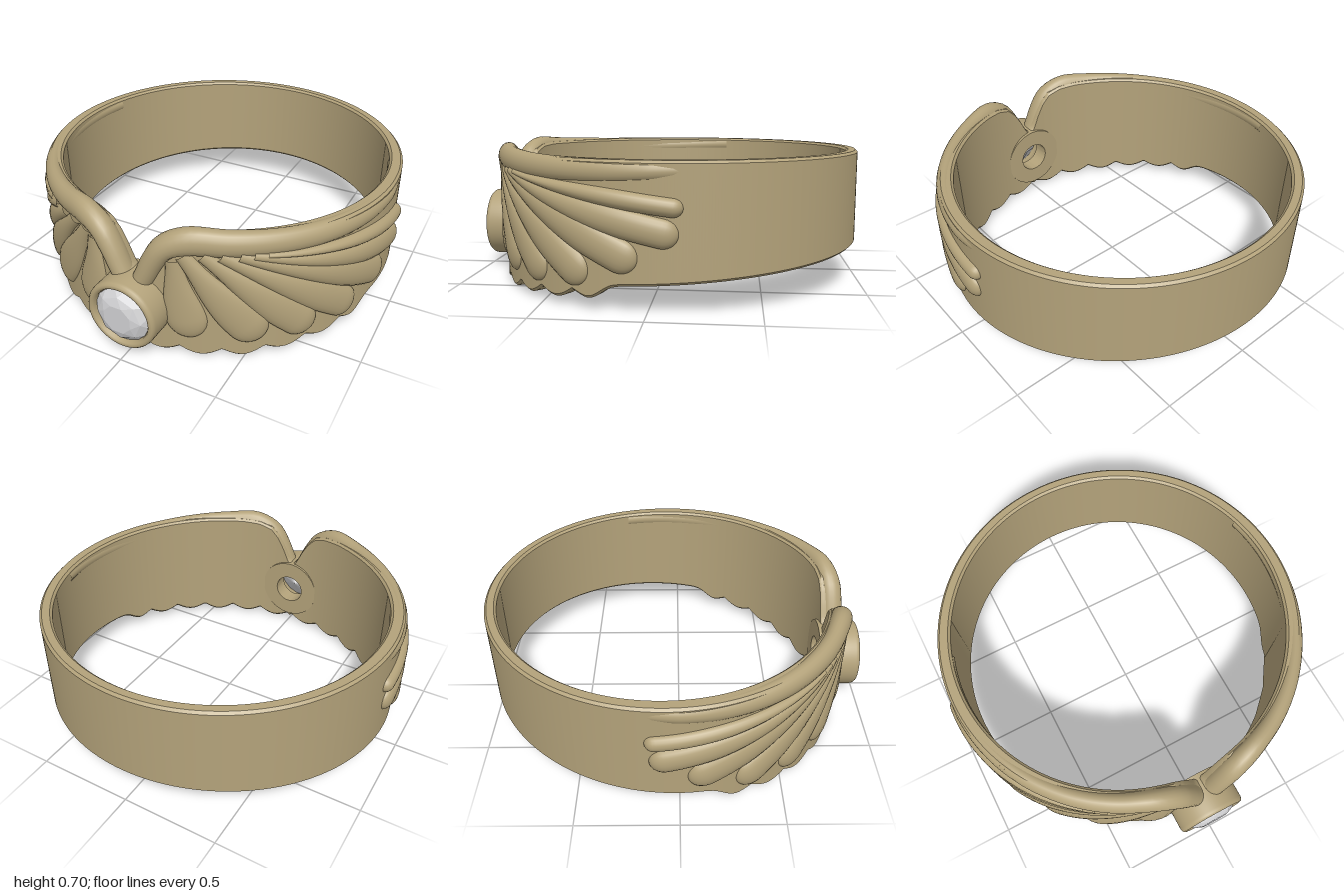
import * as THREE from 'three';
import { toCreasedNormals } from 'three/addons/utils/BufferGeometryUtils.js';
import { ConvexGeometry } from 'three/addons/geometries/ConvexGeometry.js';

const R = 0.93, ZC = -0.07;        // outer wall of the band
const GEM_Y = 0.24, HOLE = 0.13;   // setting height and opening cut behind it

// point on the ring: arc length u from the front, height y, radius r
const wrap = (u, y, r, side = 1) =>
  new THREE.Vector3(side * r * Math.sin(u / R), y, ZC + r * Math.cos(u / R));

// piecewise linear lookup in [x, value] pairs
function lookup(table, x) {
  for (let i = 1; i < table.length; i++) {
    const [x0, v0] = table[i - 1], [x1, v1] = table[i];
    if (x <= x1) return v0 + (v1 - v0) * Math.max(0, (x - x0) / (x1 - x0));
  }
  return table[table.length - 1][1];
}

// skin over closed cross-sections
function loft(rows, flip = false) {
  const n = rows[0].length, index = [];
  for (let i = 0; i < rows.length - 1; i++) {
    for (let j = 0; j < n; j++) {
      const a = i * n + j, b = i * n + (j + 1) % n, c = a + n, d = b + n;
      if (flip) index.push(a, c, b, b, c, d);
      else index.push(a, b, c, b, d, c);
    }
  }
  const geo = new THREE.BufferGeometry().setFromPoints(rows.flat());
  geo.setIndex(index);
  geo.computeVertexNormals();
  return geo;
}

// oval section swept along a path that lies on the ring wall
function sweep(points, steps, side, section) {
  const curve = new THREE.CatmullRomCurve3(points.map(([u, y]) => new THREE.Vector3(u, y, 0)));
  const length = curve.getLength(), rows = [];
  for (let i = 0; i <= steps; i++) {
    const t = Math.sin((i / steps) * Math.PI / 2);
    const p = curve.getPointAt(t), d = curve.getTangentAt(t);
    const { width, depth, radius } = section(t, length, p);
    rows.push(Array.from({ length: 20 }, (_, j) => {
      const a = (j / 20) * Math.PI * 2, w = width * Math.cos(a);
      return wrap(p.x - d.y * w, p.y + d.x * w, radius + depth * Math.sin(a), side);
    }));
  }
  return loft(rows, side < 0);
}

// upper edge: V notch at the front, level elsewhere
const TOP = [[0, 0.41], [0.03, 0.44], [0.07, 0.52], [0.11, 0.585], [0.16, 0.635], [0.24, 0.66], [0.35, 0.668]];
const fold = (a) => Math.abs(a > Math.PI ? a - 2 * Math.PI : a);
const topEdge = (a) => lookup(TOP, fold(a) * R);

// lower edge: scallops under the wings, then a smooth slope to the back
function bottomEdge(angle) {
  const a = THREE.MathUtils.radToDeg(fold(angle));
  const lobe = 0.036 * (1 - Math.abs(Math.cos(Math.PI * (a - 7.5) / 12.5)));
  const front = lookup([[0, 0], [33, 0.003], [45, 0.02], [70, 0.055]], a) + lobe;
  const back = 0.135 - 0.06 * Math.cos(THREE.MathUtils.degToRad(a));
  return THREE.MathUtils.lerp(front, back, THREE.MathUtils.smoothstep(a, 68, 79));
}

// stretch of the band between two angles, with slightly bevelled edges
function bandPiece(a0, a1, steps, bottom, top) {
  const rows = [];
  for (let i = 0; i <= steps; i++) {
    const a = a0 + (a1 - a0) * i / steps, lo = bottom(a), hi = top(a);
    const inner = 0.86 - 0.01 * Math.cos(a);
    const b = Math.min(0.012, (hi - lo) / 3);
    rows.push([
      [inner + b, hi], [R - b, hi], [R, hi - b], [R, lo + b],
      [R - b, lo], [inner + b, lo], [inner, lo + b], [inner, hi - b],
    ].map(([r, y]) => wrap(a * R, y, r)));
  }
  return toCreasedNormals(loft(rows), 0.7);
}

// feathers: path from root to tip, then half width and height
const FEATHERS = [
  { path: [[0.21, 0.54], [0.23, 0.36], [0.285, 0.11]], width: 0.1, depth: 0.036 },
  { path: [[0.25, 0.57], [0.4, 0.36], [0.61, 0.11]], width: 0.098, depth: 0.038 },
  { path: [[0.34, 0.58], [0.58, 0.36], [0.86, 0.115]], width: 0.088, depth: 0.038 },
  { path: [[0.42, 0.58], [0.76, 0.37], [1.11, 0.14]], width: 0.083, depth: 0.038 },
  { path: [[0.5, 0.58], [0.92, 0.41], [1.35, 0.225]], width: 0.078, depth: 0.039 },
  { path: [[0.56, 0.58], [1.02, 0.46], [1.53, 0.345]], width: 0.066, depth: 0.04 },
  { path: [[0.62, 0.58], [1.05, 0.53], [1.55, 0.465]], width: 0.042, depth: 0.04 },
];

const RAIL = [[0.05, 0.385], [0.075, 0.435], [0.115, 0.515], [0.17, 0.59], [0.27, 0.63],
  [0.465, 0.625], [0.84, 0.615], [1.21, 0.615], [1.72, 0.628]];

export function createModel() {
  const gold = new THREE.MeshStandardMaterial({ color: 0xb3a27a });
  gold.name = 'antique gold';
  const crystal = new THREE.MeshStandardMaterial({ color: 0xd2d2d4 });
  crystal.name = 'clear crystal';

  const model = new THREE.Group();
  model.name = 'wingedRing';
  const add = (name, geometry, material = gold, parent = model) => {
    const mesh = new THREE.Mesh(geometry, material);
    mesh.name = name;
    parent.add(mesh);
    return mesh;
  };

  // band, split at the front to leave the opening behind the stone
  const a0 = Math.asin(HOLE / R);
  const gap = (a) => Math.sqrt(Math.max(0, HOLE ** 2 - (R * Math.sin(a)) ** 2));
  add('band', bandPiece(a0, 2 * Math.PI - a0, 420, bottomEdge, topEdge));
  add('bandBelowStone', bandPiece(-a0, a0, 28, bottomEdge, (a) => GEM_Y - gap(a)));
  add('bandAboveStone', bandPiece(-a0, a0, 28, (a) => GEM_Y + gap(a), topEdge));

  // wings: rolled leading edge with a fan of feathers
  for (const side of [1, -1]) {
    const wing = new THREE.Group();
    wing.name = side > 0 ? 'leftWing' : 'rightWing';
    model.add(wing);
    add('wingRail', sweep(RAIL, 90, side, (t, length, p) => {
      const depth = lookup([[0.15, 0.06], [0.35, 0.052], [0.8, 0.046], [1.4, 0.042], [1.72, 0.03]], p.x);
      return {
        width: lookup([[0.05, 0.05], [0.15, 0.057], [0.28, 0.069], [0.6, 0.062], [1.2, 0.054], [1.72, 0.035]], p.x),
        depth,
        radius: 0.856 + depth,
      };
    }), gold, wing);
    for (const { path, width, depth } of FEATHERS) {
      add('feather', sweep(path, 36, side, (t, length) => {
        const t0 = 1 - 1.1 * width / length;
        const k = Math.max(0, (t - t0) / (1 - t0));
        const tip = Math.sqrt(Math.max(0, 1 - k * k));
        const swell = 0.4 + 0.6 * THREE.MathUtils.smoothstep(t, 0, 0.75);
        return { width: width * swell * tip, depth: depth * (0.7 + 0.3 * swell) * tip, radius: 0.925 };
      }), gold, wing);
    }
  }

  // round setting with a hollow centre
  const profile = [
    [0.085, 0.762], [0.18, 0.762], [0.18, 0.955], [0.177, 0.968], [0.17, 0.977], [0.16, 0.98],
    [0.15, 0.976], [0.143, 0.965], [0.14, 0.94], [0.13, 0.9], [0.085, 0.86], [0.085, 0.762],
  ].map(([r, h]) => new THREE.Vector2(r, h));
  const setting = new THREE.LatheGeometry(profile, 64).rotateX(Math.PI / 2);
  add('stoneSetting', toCreasedNormals(setting, 0.7)).position.y = GEM_Y;

  // faceted stone
  const corners = [new THREE.Vector3(0, 0, 0.84)];
  const ring = (n, r, z, turn) => {
    for (let i = 0; i < n; i++) {
      const a = (i + turn) / n * Math.PI * 2;
      corners.push(new THREE.Vector3(r * Math.cos(a), r * Math.sin(a), z));
    }
  };
  ring(8, 0.075, 1.0, 0.5);
  ring(8, 0.115, 0.984, 0);
  ring(16, 0.142, 0.955, 0.5);
  add('stone', new ConvexGeometry(corners), crystal).position.y = GEM_Y;

  return model;
}
